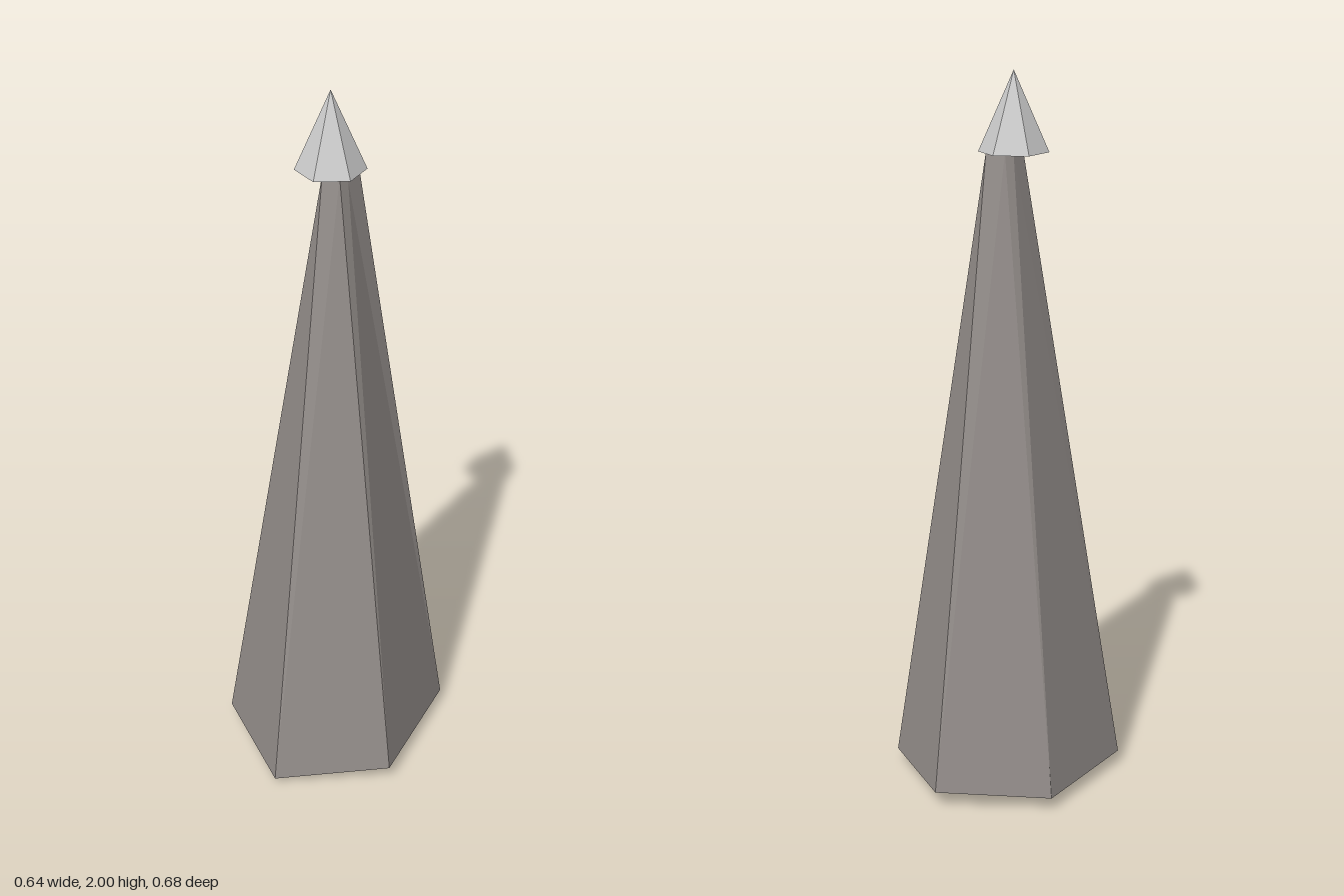
import * as THREE from 'three';

// Irregular six-sided spire: matching rings of corners, counter-clockwise from above
const BASE = [
  [-0.03, 0.045, 0.34], [0.305, 0.04, 0.12], [0.318, 0.05, -0.195],
  [0.03, 0.037, -0.34], [-0.272, 0.04, -0.165], [-0.318, 0.015, 0.172],
];
const NECK = [
  [0.018, 1.77, 0.03], [0.065, 1.785, 0.01], [0.03, 1.785, -0.035],
  [0.005, 1.785, -0.035], [-0.035, 1.785, -0.01], [-0.01, 1.785, 0.034],
];
const BOTTOM = [0, 0, 0];
const TOP = [0.012, 1.785, 0];

function spireGeometry() {
  const points = [];
  const tri = (a, b, c) => points.push(...a, ...b, ...c);
  for (let i = 0; i < 6; i++) {
    const j = (i + 1) % 6;
    tri(BASE[i], BASE[j], NECK[i]);
    tri(BASE[j], NECK[j], NECK[i]);
    tri(BOTTOM, BASE[j], BASE[i]);
    tri(TOP, NECK[i], NECK[j]);
  }
  const geometry = new THREE.BufferGeometry();
  geometry.setAttribute('position', new THREE.Float32BufferAttribute(points, 3));
  geometry.computeVertexNormals();
  return geometry;
}

export function createModel() {
  const model = new THREE.Group();
  model.name = 'spire';

  // Tapering stone shaft with a shallow pointed underside
  const shaft = new THREE.Mesh(
    spireGeometry(),
    new THREE.MeshStandardMaterial({ color: 0x928c89, flatShading: true })
  );
  shaft.name = 'shaft';
  model.add(shaft);

  // Pale six-sided tip overhanging the neck
  const tip = new THREE.Mesh(
    new THREE.ConeGeometry(0.095, 0.215, 6),
    new THREE.MeshStandardMaterial({ color: 0xcccccc, flatShading: true })
  );
  tip.name = 'tip';
  tip.position.set(0, 1.8925, -0.025);
  model.add(tip);

  return model;
}
